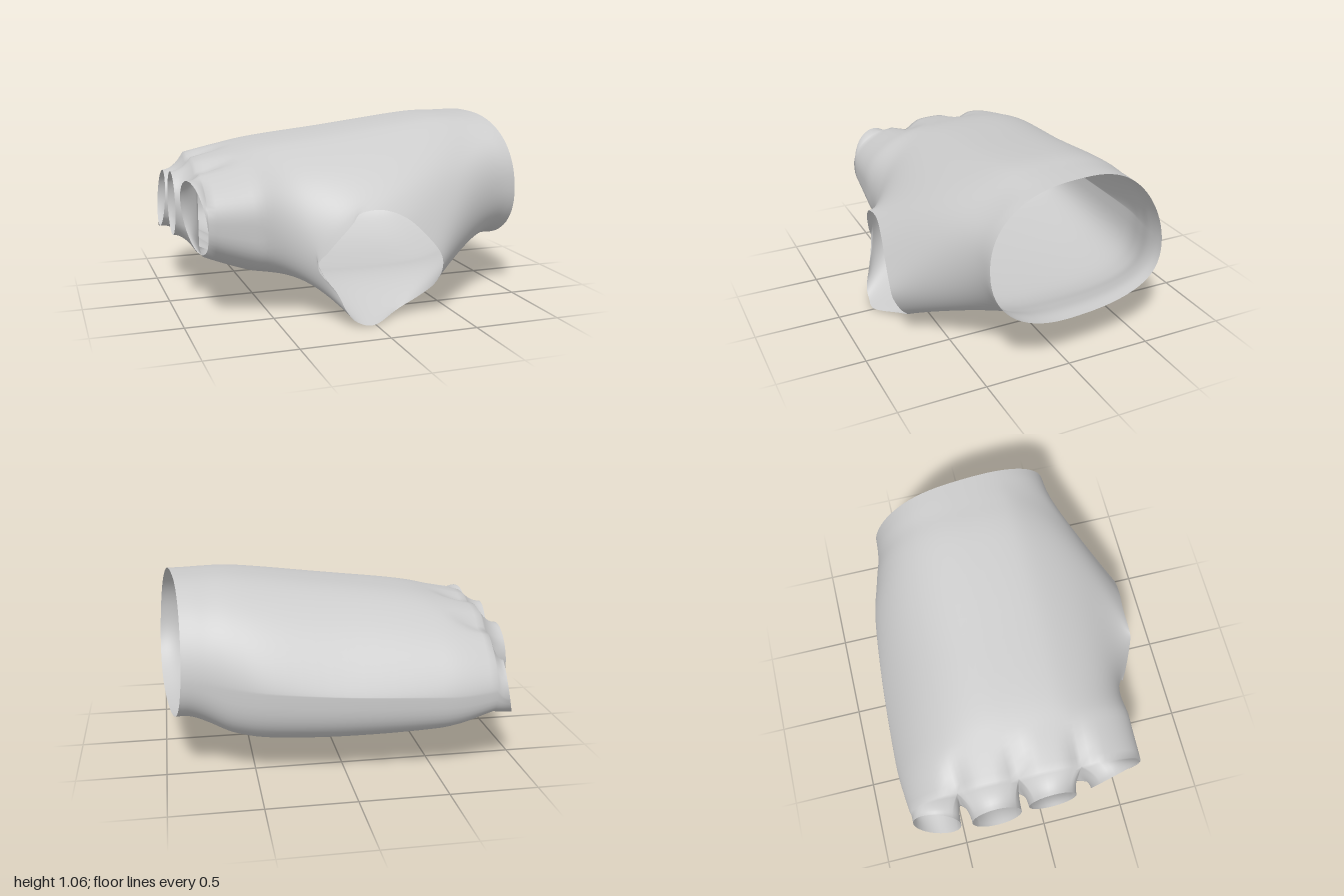
import * as THREE from 'three';
import { mergeGeometries, mergeVertices } from 'three/addons/utils/BufferGeometryUtils.js';

const { lerp, smoothstep } = THREE.MathUtils;
const material = new THREE.MeshStandardMaterial({ color: 0xcccccc, side: THREE.DoubleSide });

// Hand sections from knuckles to wrist: x, zMin, zMax, yTop, yBottom, drop of the
// little-finger side, palm squareness on the thumb side, back slope on the other
const sections = [
  [-0.82, -0.78, 0.59, 0.85, 0.31, 0.10, 0.70, 1.1],
  [-0.62, -0.80, 0.60, 0.90, 0.22, 0.09, 0.55, 1.3],
  [-0.42, -0.80, 0.61, 0.94, 0.18, 0.08, 0.45, 1.6],
  [0.00, -0.78, 0.62, 0.99, 0.15, 0.07, 0.30, 1.8],
  [0.40, -0.74, 0.61, 1.04, 0.15, 0.07, 0.35, 1.5],
  [0.60, -0.69, 0.57, 1.06, 0.18, 0.08, 0.50, 1.2],
  [0.75, -0.65, 0.53, 1.06, 0.24, 0.09, 0.75, 1.05],
  [0.86, -0.635, 0.49, 1.06, 0.28, 0.10, 0.90, 1.0],
  [0.95, -0.63, 0.48, 1.06, 0.28, 0.10, 0.90, 1.0],
];
const curveOf = (a, b, c) => new THREE.CatmullRomCurve3(
  sections.map((s) => new THREE.Vector3(s[a], s[b], s[c])), false, 'catmullrom', 0.5);
const widthCurve = curveOf(0, 1, 2), heightCurve = curveOf(3, 4, 5), shapeCurve = curveOf(6, 7, 5);

// Angles across the back of the hand where one finger ends and the next begins
const splitAngles = [0, 1.174, 1.6, 2.089, Math.PI];
const stripSteps = [14, 10, 10, 14];
const splitIndex = [0, 14, 24, 34, 48];
const HALF = 48, LOOP = 96, ROWS = 40;
const angles = stripSteps.flatMap((n, s) => Array.from({ length: n },
  (_, i) => lerp(splitAngles[s], splitAngles[s + 1], i / n)));
angles.push(Math.PI);

// Point on the hand: row 0 is the knuckles, the last row is the wrist
function handPoint(row, column) {
  const t = row / ROWS, j = (column + LOOP) % LOOP, isTop = j <= HALF;
  const w = widthCurve.getPoint(t), h = heightCurve.getPoint(t), shape = shapeCurve.getPoint(t);
  const wrist = smoothstep(w.x, 0.6, 0.95), knuckle = smoothstep(-w.x, 0.6, 0.82);
  const a = angles[isTop ? j : LOOP - j], cos = Math.cos(a);
  const c = Math.sign(cos) * Math.abs(cos) ** 0.8;
  const thumbSide = c > 0;
  const bend = isTop ? (thumbSide ? 0.9 : shape.y) : (thumbSide ? shape.x : lerp(0.7, 0.95, wrist));
  const s = Math.max(Math.sin(a), 0) ** bend * (isTop ? 1 : -1);
  const z = (w.y + w.z) / 2 + c * (w.z - w.y) / 2;
  const grooveAt = [0.23, -0.13, -0.48]
    .reduce((sum, g) => sum + Math.exp(-(((z - g) / 0.06) ** 2)), 0);
  const groove = 1 - 0.2 * grooveAt * knuckle;
  const drop = thumbSide ? 0 : h.z * Math.abs(c) ** 3;
  const y = (h.x + h.y) / 2 - drop + s * groove * (h.x - h.y) / 2;
  const x = w.x + wrist * (0.05 * c - 0.03 * s) - knuckle * 0.025 * (1 + c);
  return new THREE.Vector3(x, y, z);
}

// Skin over closed rings, optionally leaving cells out
function skin(rings, skip = () => false) {
  const n = rings[0].length, index = [];
  for (let i = 0; i < rings.length - 1; i++) {
    for (let j = 0; j < n; j++) {
      if (skip(i, j)) continue;
      const a = i * n + j, b = i * n + (j + 1) % n;
      index.push(a, a + n, b, b, a + n, b + n);
    }
  }
  const geometry = new THREE.BufferGeometry().setFromPoints(rings.flat());
  geometry.setIndex(index);
  return geometry;
}

// Even out the flare between hand and thumb, keeping open edges in place
function relaxThumb(geometry) {
  const pos = geometry.attributes.position, index = geometry.index.array;
  const next = Array.from({ length: pos.count }, () => new Set());
  const previous = Array.from({ length: pos.count }, () => new Set());
  index.forEach((a, i) => {
    const b = index[i % 3 === 2 ? i - 2 : i + 1];
    next[a].add(b);
    previous[b].add(a);
  });
  const points = next.map((_, i) => new THREE.Vector3().fromBufferAttribute(pos, i));
  const weights = points.map((p, i) => {
    const closed = next[i].size > 0 && [...next[i]].every((b) => previous[i].has(b))
      && next[i].size === previous[i].size;
    return closed ? 0.5 * smoothstep(p.z, 0.15, 0.4) * smoothstep(p.x, -0.6, -0.42)
      * (1 - smoothstep(p.x, 0.78, 0.92)) : 0;
  });
  for (let pass = 0; pass < 40; pass++) {
    const means = points.map((p, i) => {
      const mean = new THREE.Vector3();
      next[i].forEach((b) => mean.addScaledVector(points[b], 1 / next[i].size));
      return mean;
    });
    points.forEach((p, i) => p.lerp(means[i], weights[i]));
  }
  points.forEach((p, i) => pos.setXYZ(i, p.x, p.y, p.z));
  return geometry;
}

// Share normals wherever vertices of different parts meet
function smoothTogether(geometries) {
  const sums = new Map(), p = new THREE.Vector3(), v = new THREE.Vector3();
  const visit = (fn) => geometries.forEach((g) => {
    for (let i = 0; i < g.attributes.position.count; i++) {
      p.fromBufferAttribute(g.attributes.position, i);
      fn(p.toArray().map((q) => Math.round(q * 1e4)).join(), g.attributes.normal, i);
    }
  });
  geometries.forEach((g) => g.computeVertexNormals());
  visit((key, nor, i) => {
    if (!sums.has(key)) sums.set(key, new THREE.Vector3());
    sums.get(key).add(v.fromBufferAttribute(nor, i));
  });
  visit((key, nor, i) => nor.setXYZ(i, ...v.copy(sums.get(key)).normalize().toArray()));
}

// Thumb opening: four arcs of four points, clockwise from the upper knuckle side
const thumbRim = new THREE.CatmullRomCurve3([
  [-0.13, 0.56, 0.75], [-0.08, 0.62, 0.75], [0.05, 0.63, 0.75], [0.18, 0.58, 0.77],
  [0.29, 0.48, 0.79], [0.37, 0.38, 0.80], [0.39, 0.29, 0.79], [0.37, 0.19, 0.74],
  [0.31, 0.11, 0.68], [0.17, 0.04, 0.68], [0.0, 0.0, 0.78], [-0.1, 0.02, 0.78],
  [-0.16, 0.08, 0.77], [-0.21, 0.19, 0.73], [-0.30, 0.32, 0.68], [-0.24, 0.42, 0.71],
].map((q) => new THREE.Vector3(...q)), true, 'catmullrom', 0.5);
const ROW_A = 10, ROW_B = 32, UP = 10, DOWN = 12;

// Thumb sleeve: leaves the hand partly along its surface, then runs to the opening
function thumbGeometry() {
  const span = ROW_B - ROW_A, lines = [];
  const edge = (e, n, at) => {
    for (let i = 0; i < n; i++) {
      const [row, j] = at(i), base = handPoint(row, j);
      const rim = thumbRim.getPoint((e + i / n) / 4), reach = base.distanceTo(rim) / 3;
      const u = (2 * (row - ROW_A)) / span - 1, v = j > 0 ? j / UP : j / DOWN;
      const alongRow = handPoint(row + 1, j).sub(handPoint(row - 1, j)).normalize();
      const alongLoop = handPoint(row, j + 1).sub(handPoint(row, j - 1)).normalize();
      const leave = alongRow.multiplyScalar(-(u ** 5)).addScaledVector(alongLoop, -(v ** 5));
      leave.normalize().addScaledVector(rim.clone().sub(base).normalize(), j > 0 ? 0.5 : 1.2);
      const control = base.clone().addScaledVector(leave.normalize(), reach);
      lines.push(new THREE.CubicBezierCurve3(base, control, base.clone().lerp(rim, 0.67), rim));
    }
  };
  edge(0, span, (i) => [ROW_A + i, UP]);
  edge(1, UP + DOWN, (i) => [ROW_B, UP - i]);
  edge(2, span, (i) => [ROW_B - i, -DOWN]);
  edge(3, UP + DOWN, (i) => [ROW_A, i - DOWN]);
  return skin(Array.from({ length: 13 }, (_, k) => lines.map((line) => line.getPoint(k / 12))));
}

// Finger openings: rim x, centre y and z, radius in y and z, slant of the rim in y and z
const fingers = [
  ['indexFingerSleeve', -0.915, 0.585, 0.425, 0.205, 0.155, -0.03, 0.04],
  ['middleFingerSleeve', -0.975, 0.595, 0.035, 0.185, 0.14, 0, 0],
  ['ringFingerSleeve', -0.985, 0.565, -0.295, 0.17, 0.145, 0.015, 0],
  ['littleFingerSleeve', -0.925, 0.465, -0.64, 0.15, 0.135, 0.03, -0.035],
];

function fingerGeometry(s, [, rimX, cy, cz, ry, rz, slantY, slantZ]) {
  const first = splitIndex[s], last = splitIndex[s + 1], start = [];
  const top = (j) => handPoint(0, j), bottom = (j) => handPoint(0, LOOP - j);
  const wall = (a, b) => {
    for (let k = 1; k < 10; k++) start.push(a.clone().lerp(b, k / 10));
  };
  for (let j = first; j <= last; j++) start.push(top(j));
  if (s < 3) wall(top(last), bottom(last));
  for (let j = s < 3 ? last : last - 1; j >= (s ? first : 1); j--) start.push(bottom(j));
  if (s > 0) wall(bottom(first), top(first));

  const box = new THREE.Box3().setFromPoints(start);
  const mid = box.getCenter(new THREE.Vector3()), size = box.getSize(new THREE.Vector3());
  const rim = start.map((p) => {
    const a = Math.atan2((p.y - mid.y) / size.y, (p.z - mid.z) / size.z);
    const sin = Math.sin(a), cos = Math.cos(a);
    return new THREE.Vector3(rimX + slantY * sin + slantZ * cos, cy + ry * sin, cz + rz * cos);
  });
  return skin(Array.from({ length: 9 }, (_, k) => {
    const f = 1 - k / 8, ease = 1 - (1 - f) ** 2;
    return start.map((p, i) => new THREE.Vector3(
      lerp(p.x, rim[i].x, f), lerp(p.y, rim[i].y, ease), lerp(p.z, rim[i].z, ease)));
  }));
}

export function createModel() {
  const group = new THREE.Group();
  group.name = 'fingerlessGlove';
  // Hand from knuckles to wrist, cut away where the thumb sleeve joins it
  const rings = Array.from({ length: ROWS + 1 },
    (_, i) => Array.from({ length: LOOP }, (__, j) => handPoint(i, j)));
  const inThumb = (i, j) => i >= ROW_A && i < ROW_B && (j < UP || j >= LOOP - DOWN);
  const hand = mergeVertices(mergeGeometries([skin(rings, inThumb), thumbGeometry()]));
  const parts = [['handWithThumbSleeve', relaxThumb(hand)]];
  fingers.forEach((f, s) => parts.push([f[0], fingerGeometry(s, f)]));

  smoothTogether(parts.map((p) => p[1]));
  for (const [name, geometry] of parts) {
    const mesh = new THREE.Mesh(geometry, material);
    mesh.name = name;
    group.add(mesh);
  }
  return group;
}
